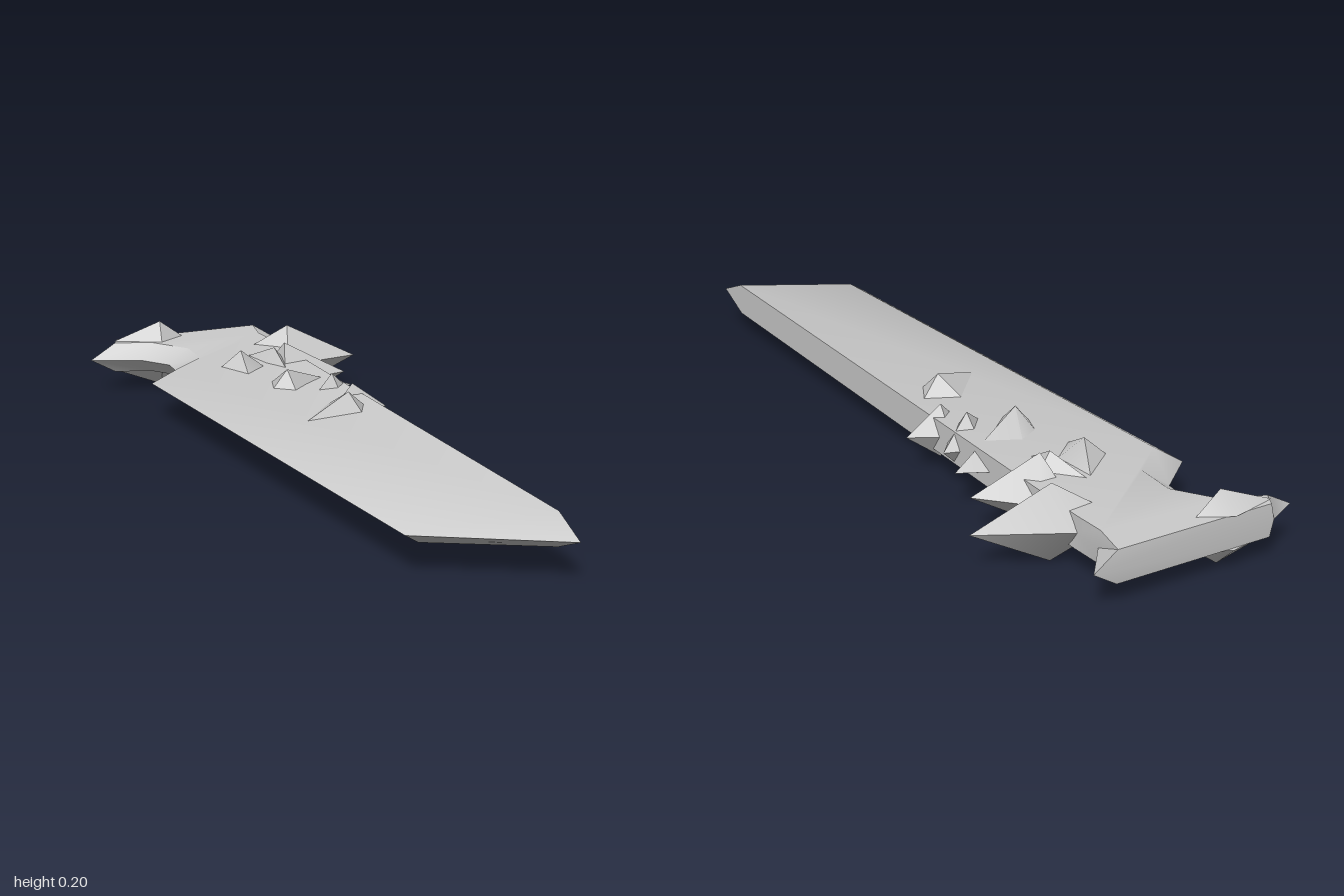
import * as THREE from 'three';
import { toCreasedNormals } from 'three/addons/utils/BufferGeometryUtils.js';

const MID = 0.1, HALF = 0.043;
const material = new THREE.MeshStandardMaterial({ color: 0xcccccc });

function makeMesh(name, triangles, crease) {
  const geometry = new THREE.BufferGeometry();
  geometry.setAttribute('position', new THREE.Float32BufferAttribute(triangles.flat(2), 3));
  const mesh = new THREE.Mesh(toCreasedNormals(geometry, crease), material);
  mesh.name = name;
  mesh.position.y = MID;
  return mesh;
}

// Orders an [x, z] outline so that the side walls face outwards
function ordered(outline) {
  const flat = outline.map(([x, z]) => new THREE.Vector2(x, z));
  return THREE.ShapeUtils.isClockWise(flat) ? [...outline].reverse() : outline;
}

// Flat slab whose rim tapers from the two faces to a sharp edge at mid height
function bevelledSlab(name, rows) {
  const tris = [], n = rows.length;
  const faces = THREE.ShapeUtils.triangulateShape(rows.map(r => new THREE.Vector2(r[2], r[3])), []);
  for (const side of [1, -1]) {
    const add = (a, b, c) => tris.push(side > 0 ? [a, b, c] : [a, c, b]);
    const rim = rows.map(r => [r[0], 0, r[1]]);
    const cap = rows.map(r => [r[2], side * HALF, r[3]]);
    for (const [a, b, c] of faces) add(cap[c], cap[b], cap[a]);
    for (let i = 0; i < n; i++) {
      const j = (i + 1) % n;
      add(rim[j], rim[i], cap[i]);
      add(rim[j], cap[i], cap[j]);
    }
  }
  return makeMesh(name, tris, 0.7);
}

// Pyramid on an [x, z] outline, from height base up (or down) to the peak
function pyramid(outline, base, [px, py, pz], closed) {
  const ring = ordered(outline).map(([x, z]) => [x, base, z]);
  const tris = [], up = py > base;
  ring.forEach((a, i) => {
    const b = ring[(i + 1) % ring.length];
    tris.push(up ? [b, a, [px, py, pz]] : [a, b, [px, py, pz]]);
    if (closed) tris.push(up ? [a, b, [px, base, pz]] : [b, a, [px, base, pz]]);
  });
  return tris;
}

export function createModel() {
  const group = new THREE.Group();

  // Blade, grip and flared pommel: rim x, rim z, face x, face z
  group.add(bevelledSlab('blade', [
    [0.145, 1.0, 0.145, 0.9],
    [-0.19, 0.8, -0.13, 0.745],
    [-0.287, -0.63, -0.22, -0.6],
    [-0.18, -0.72, -0.12, -0.69],
    [-0.175, -0.8, -0.115, -0.8],
    [-0.23, -0.88, -0.19, -0.91],
    [-0.365, -0.94, -0.29, -0.945],
    [-0.28, -0.985, -0.27, -0.985],
    [0.227, -0.99, 0.16, -0.985],
    [0.145, -0.89, 0.14, -0.89],
    [0.145, -0.8, 0.145, -0.8],
  ]));

  // Crystals growing through the spine: outline and peak
  const spineCrystals = [
    [[[0.01, -0.795], [0.14, -0.81], [0.36, -0.69], [0.14, -0.66]], [0.165, 0.1, -0.73]],
    [[[0.06, -0.655], [0.14, -0.655], [0.258, -0.53], [0.06, -0.49]], [0.09, 0.093, -0.57]],
    [[[-0.05, -0.42], [0.06, -0.48], [0.22, -0.4], [0.1, -0.31], [0, -0.22], [-0.09, -0.3]], [-0.01, 0.09, -0.31]],
    [[[0, -0.215], [0.09, -0.32], [0.185, -0.29], [0.12, -0.215]], [0.1, 0.08, -0.26]],
    [[[0.05, -0.16], [0.12, -0.22], [0.217, -0.165], [0.14, -0.135]], [0.12, 0.072, -0.17]],
  ];
  for (const [outline, [x, y, z]] of spineCrystals) {
    group.add(makeMesh('spineCrystal', [
      ...pyramid(outline, 0, [x, y, z], false),
      ...pyramid(outline, 0, [x, -y, z], false),
    ], 0.6));
  }

  // Small crystals lying on both faces
  const faceCrystals = [
    [[[0, -0.65], [0.01, -0.53], [-0.06, -0.47], [-0.1, -0.57]], [-0.05, 0.09, -0.55]],
    [[[0.015, -0.655], [0.09, -0.57], [0.06, -0.49], [0.03, -0.56]], [0.055, 0.085, -0.56]],
    [[[-0.09, 0.018], [0.02, -0.105], [0.105, -0.065], [0.07, 0]], [0.05, 0.09, -0.04]],
    [[[-0.285, -0.965], [-0.16, -0.995], [-0.08, -0.95], [-0.16, -0.9]], [-0.15, 0.095, -0.945]],
  ];
  for (const [outline, [x, y, z]] of faceCrystals) {
    for (const side of [1, -1]) {
      group.add(makeMesh('faceCrystal', pyramid(outline, side * HALF, [x, side * y, z], true), 0.6));
    }
  }
  return group;
}
